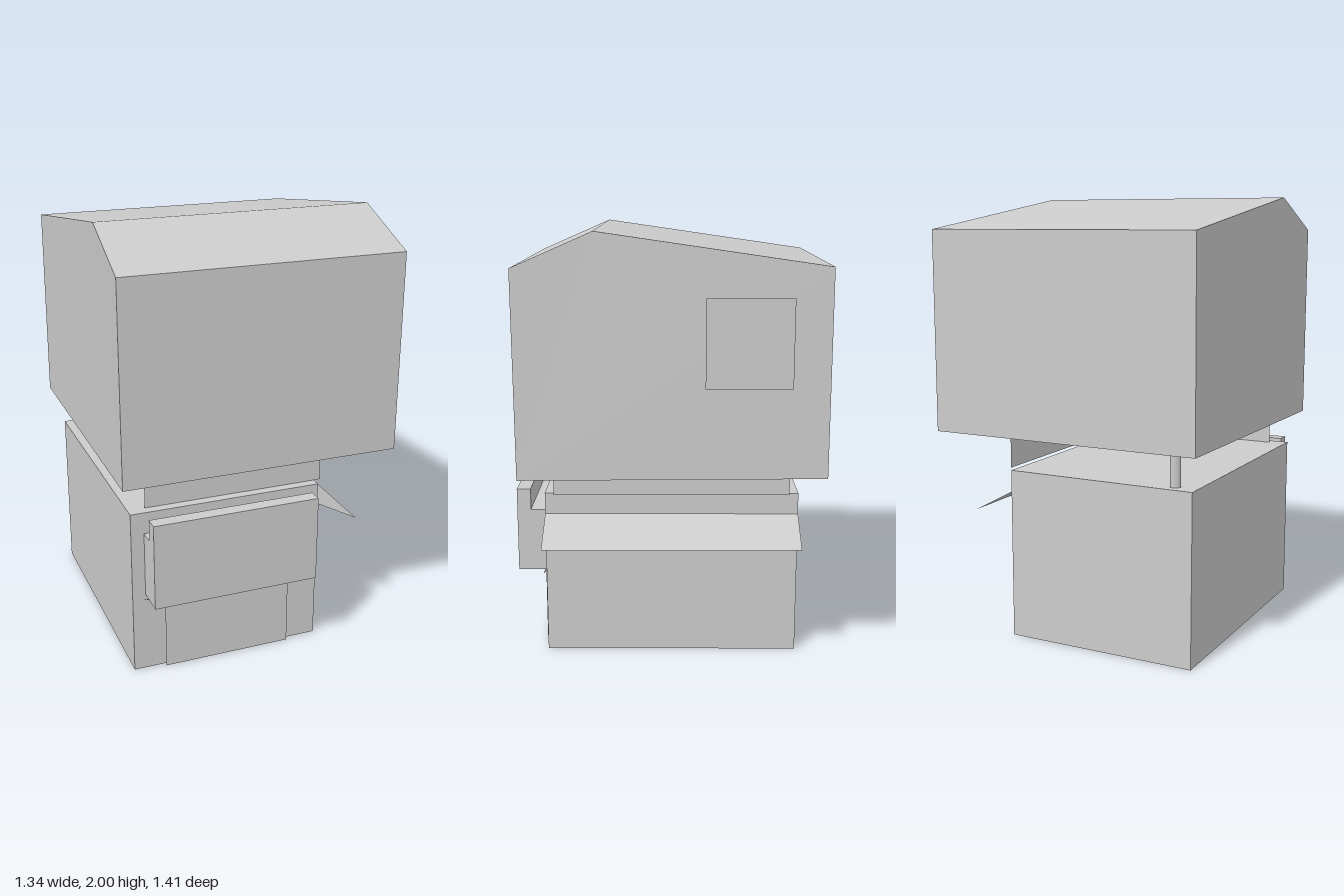
import * as THREE from 'three';

const material = new THREE.MeshStandardMaterial({ color: 0xcccccc, side: THREE.DoubleSide });

// Hollow shell: an open profile of [z, y, xRight, xLeft] swept across x, with both ends capped.
function shell(profile) {
  const pos = [];
  const at = (i, s) => [profile[i][2 + s], profile[i][1], profile[i][0]];
  for (let i = 0; i < profile.length - 1; i++) {
    pos.push(...at(i, 0), ...at(i + 1, 0), ...at(i + 1, 1));
    pos.push(...at(i, 0), ...at(i + 1, 1), ...at(i, 1));
  }
  const outline = profile.map(([z, y]) => new THREE.Vector2(z, y));
  for (const [a, b, c] of THREE.ShapeUtils.triangulateShape(outline, [])) {
    pos.push(...at(a, 0), ...at(b, 0), ...at(c, 0));
    pos.push(...at(a, 1), ...at(c, 1), ...at(b, 1));
  }
  const geometry = new THREE.BufferGeometry();
  geometry.setAttribute('position', new THREE.Float32BufferAttribute(pos, 3));
  geometry.computeVertexNormals();
  return geometry;
}

const straight = (points, x0, x1) => shell(points.map(([z, y]) => [z, y, x0, x1]));
const toShape = (points) => new THREE.Shape(points.map(([x, y]) => new THREE.Vector2(x, y)));
const rect = (x0, x1, y0, y1) => [[x0, y0], [x1, y0], [x1, y1], [x0, y1]];

export function createModel() {
  const model = new THREE.Group();
  model.name = 'shopHouse';
  const add = (name, geometry, x = 0, y = 0, z = 0) => {
    const mesh = new THREE.Mesh(geometry, material);
    mesh.name = name;
    mesh.position.set(x, y, z);
    model.add(mesh);
    return mesh;
  };
  // Flat panel facing +x
  const sidePanel = (name, x, z0, z1, y0, y1) => {
    const panel = add(name, new THREE.PlaneGeometry(z1 - z0, y1 - y0), x, (y0 + y1) / 2, (z0 + z1) / 2);
    panel.rotation.y = Math.PI / 2;
  };

  // Upper storey with an uneven gable roof, open underneath
  add('upperHouse', shell([
    [-0.705, 0.945, -0.67, 0.615],
    [-0.705, 1.855, -0.665, 0.615],
    [0.3, 2, -0.665, 0.605],
    [0.65, 1.848, -0.672, 0.615],
    [0.645, 0.935, -0.672, 0.615],
  ]));
  sidePanel('upperWindow', 0.67, -0.54, -0.17, 1.35, 1.73);

  // Recessed walls and post carrying the upper storey
  add('neckFrontWall', new THREE.PlaneGeometry(0.845, 0.16), -0.1175, 0.86, 0.52);
  sidePanel('neckSideWall', 0.305, -0.575, 0.52, 0.78, 0.94);
  add('cornerPost', new THREE.CylinderGeometry(0.025, 0.025, 0.165, 8), -0.515, 0.8625, -0.56);

  // Ground floor: back, top and sides, open underneath
  const lower = new THREE.BufferGeometry();
  lower.copy(straight([[-0.62, 0], [-0.62, 0.78], [0.565, 0.78], [0.565, 0]], -0.62, 0.275));
  // drop the swept front strip, which is replaced by a wall with an opening
  const p = Array.from(lower.attributes.position.array);
  p.splice(2 * 18, 18);
  lower.setAttribute('position', new THREE.Float32BufferAttribute(p, 3));
  lower.deleteAttribute('normal');
  lower.computeVertexNormals();
  add('lowerHouse', lower);

  const wall = toShape(rect(-0.62, 0.275, 0, 0.78));
  wall.holes.push(toShape(rect(-0.56, 0.21, 0.38, 0.68)));
  add('lowerFrontWall', new THREE.ShapeGeometry(wall), 0, 0, 0.565);

  // Hollow stepped sign box over the door
  add('signBox', straight([
    [0.565, 0.68], [0.64, 0.68], [0.64, 0.78], [0.705, 0.78], [0.705, 0.38], [0.565, 0.38],
  ], -0.56, 0.21));

  // Door panel with a flared head
  add('doorPanel', new THREE.ShapeGeometry(toShape([
    [-0.475, 0], [0.125, 0], [0.125, 0.34], [0.23, 0.365], [-0.575, 0.365], [-0.475, 0.34],
  ])), 0, 0, 0.585);

  // Sloping awning along the left side
  const drop = 0.11, reach = 0.205;
  const awning = add('awning', new THREE.PlaneGeometry(Math.hypot(drop, reach), 1.185),
    0.275 + reach / 2, 0.68 - drop / 2, -0.0275);
  awning.rotation.order = 'ZYX';
  awning.rotation.set(-Math.PI / 2, 0, -Math.atan2(drop, reach));

  // Row of small windows under the awning
  for (const z of [0.365, -0.035, -0.425]) {
    sidePanel('lowerWindow', 0.279, z - 0.105, z + 0.105, 0.245, 0.36);
  }
  return model;
}
